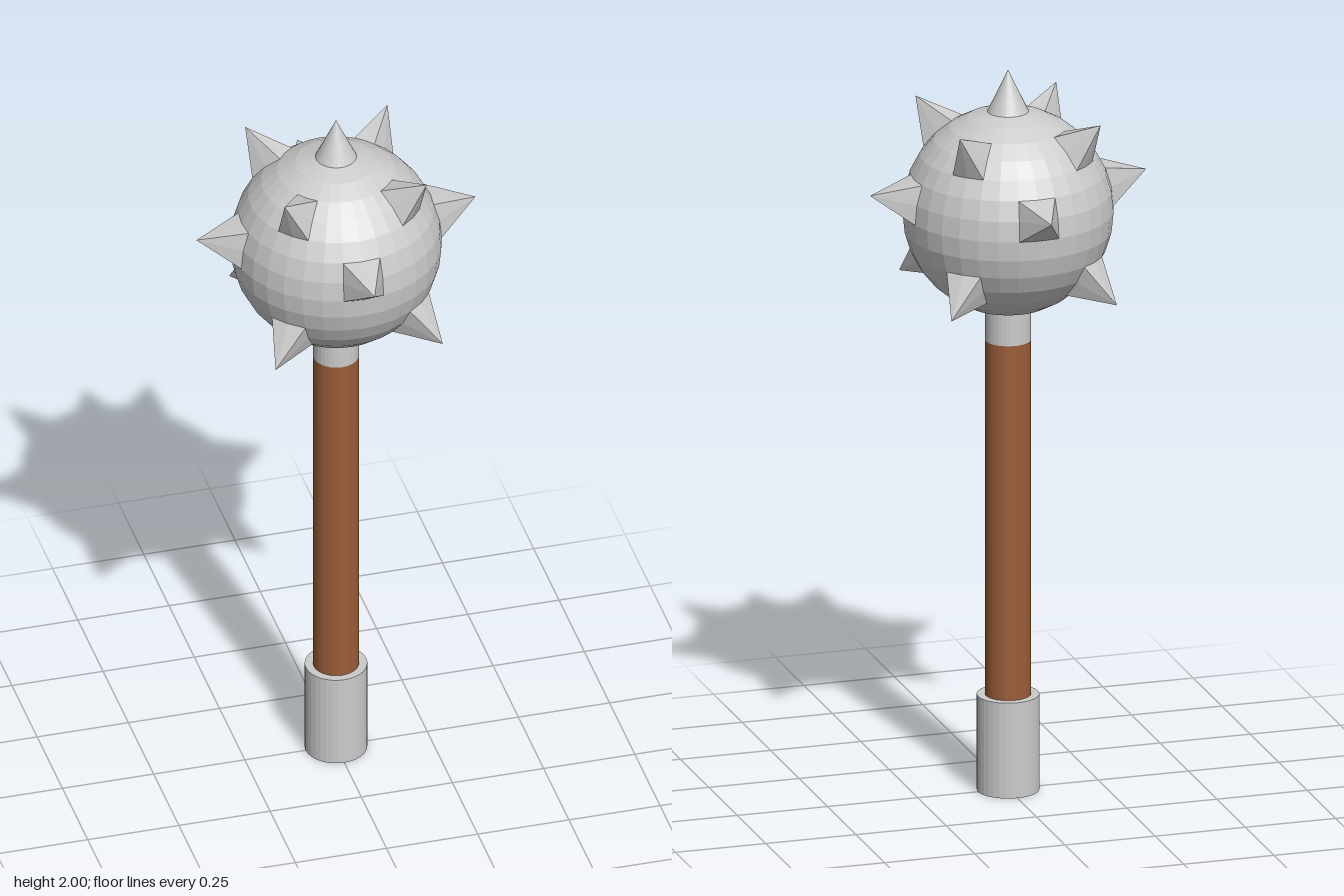
import * as THREE from 'three';

const R = 0.28, TIP = 0.39, CENTRE = 1.61, STEP = Math.PI / 16;

// point on a sphere of radius r; azimuth and elevation counted in facet steps
function onBall(az, el, r = R) {
  const a = az * STEP, e = el * STEP;
  return new THREE.Vector3(
    r * Math.cos(e) * Math.sin(a),
    r * Math.sin(e),
    r * Math.cos(e) * Math.cos(a)
  );
}

// fan of triangles from a closed ring of points up to a tip
function fan(ring, tip) {
  const pts = ring.flatMap((p, i) => [p, ring[(i + 1) % ring.length], tip]);
  const geo = new THREE.BufferGeometry().setFromPoints(pts);
  geo.computeVertexNormals();
  return geo;
}

export function createModel() {
  const model = new THREE.Group();
  model.name = 'spikedMace';
  const metal = new THREE.MeshStandardMaterial({ color: 0xcccccc, flatShading: true });
  const wood = new THREE.MeshStandardMaterial({ color: 0x9b5d38, flatShading: true });

  const add = (parent, name, geo, mat, y = 0) => {
    const mesh = new THREE.Mesh(geo, mat);
    mesh.name = name;
    mesh.position.y = y;
    parent.add(mesh);
  };
  const rod = (name, r, y0, y1, mat) =>
    add(model, name, new THREE.CylinderGeometry(r, r, y1 - y0, 32), mat, (y0 + y1) / 2);

  // shaft
  rod('pommel', 0.083, 0, 0.265, metal);
  rod('grip', 0.061, 0.265, 1.25, wood);
  rod('collar', 0.061, 1.25, 1.36, metal);

  // head
  const head = new THREE.Group();
  head.name = 'head';
  head.position.y = CENTRE;
  model.add(head);
  add(head, 'ball', new THREE.SphereGeometry(R, 32, 16), metal);

  // round spike at the top
  const topRing = Array.from({ length: 32 }, (_, i) => onBall(i, 7));
  add(head, 'topSpike', fan(topRing, new THREE.Vector3(0, TIP, 0)), metal);

  // three rows of four-cornered spikes, each two by two facets wide at its base
  const outline = [[-1, -1], [0, -1], [1, -1], [1, 0], [1, 1], [0, 1], [-1, 1], [-1, 0]];
  const rows = [['upperSpike', 4, 4], ['middleSpike', 0, 1], ['lowerSpike', 4, -3]];
  for (const [name, start, el] of rows) {
    for (let az = start; az < 32; az += 8) {
      const ring = outline.map(([da, de]) => onBall(az + da, el + de));
      add(head, name, fan(ring, onBall(az, el, TIP)), metal);
    }
  }
  return model;
}
